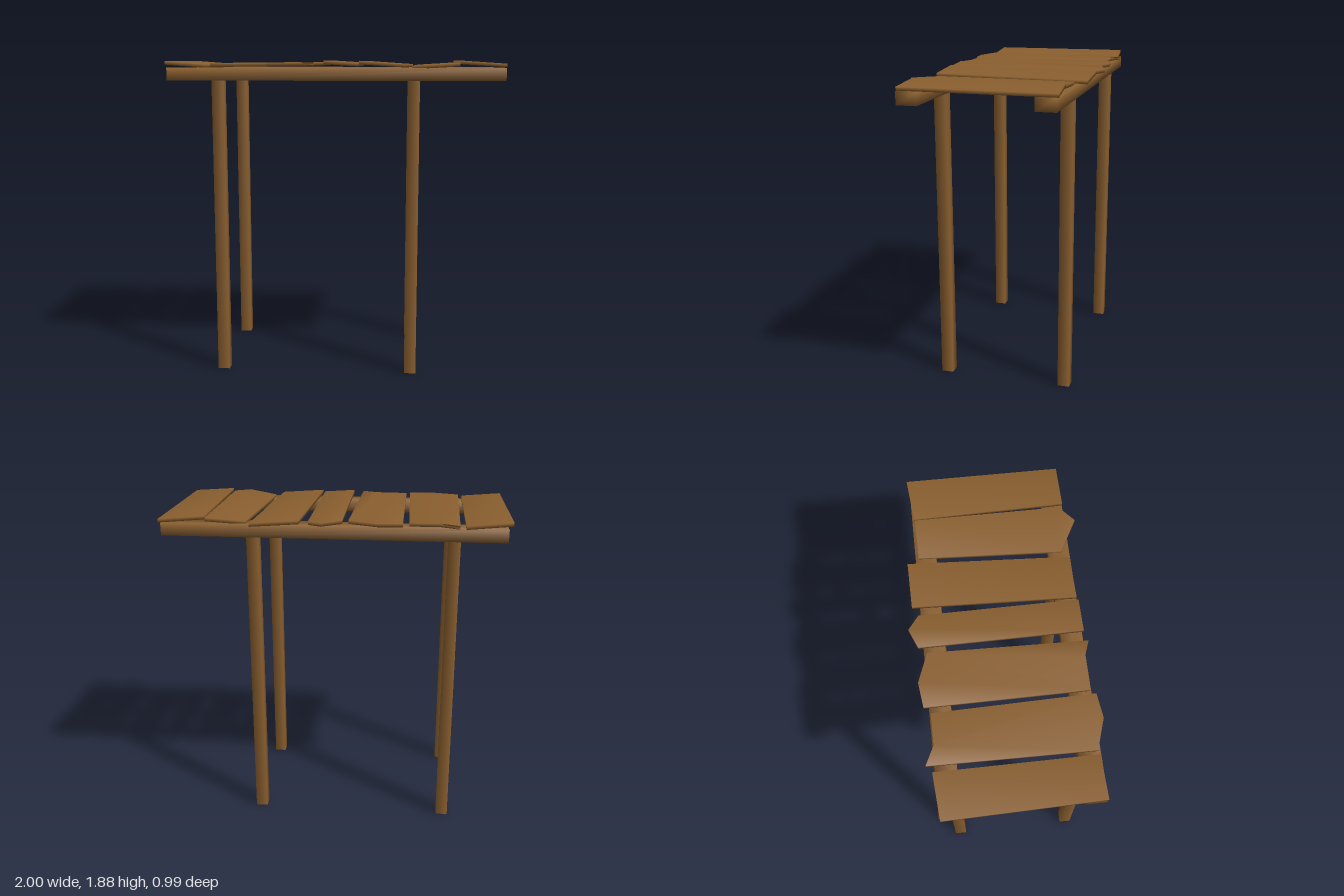
import * as THREE from 'three';
import { mergeVertices } from 'three/addons/utils/BufferGeometryUtils.js';

// Weld corners so shading runs softly around the timber edges
function soften(geometry) {
  geometry.deleteAttribute('normal');
  geometry.deleteAttribute('uv');
  const welded = mergeVertices(geometry, 1e-5);
  welded.computeVertexNormals();
  return welded;
}

export function createModel() {
  const group = new THREE.Group();
  group.name = 'plankCanopy';
  const wood = new THREE.MeshStandardMaterial({ name: 'brown wood', color: 0x8a5f2f });

  function add(name, geometry, x = 0, y = 0, z = 0) {
    const mesh = new THREE.Mesh(soften(geometry), wood);
    mesh.name = name;
    mesh.position.set(x, y, z);
    group.add(mesh);
  }

  // Four posts carrying two long beams
  for (const [side, z] of [['front', 0.378], ['back', -0.37]]) {
    add(side + 'Beam', new THREE.BoxGeometry(1.965, 0.074, 0.116), 0.007, 1.802, z);
    for (const [end, x] of [['Right', -0.68], ['Left', 0.466]]) {
      add(side + end + 'Post', new THREE.BoxGeometry(0.07, 1.78, 0.072), x, 0.89, z);
    }
  }

  // Plank: outline in x/z, top height at its left and right ends (tilted across x)
  function plank(name, outline, yStart, yEnd, thickness = 0.02) {
    const shape = new THREE.Shape(outline.map(([x, z]) => new THREE.Vector2(x, -z)));
    const geometry = new THREE.ExtrudeGeometry(shape, { depth: thickness, bevelEnabled: false });
    geometry.rotateX(-Math.PI / 2);
    const xs = outline.map((p) => p[0]);
    const x0 = Math.min(...xs), x1 = Math.max(...xs);
    const p = geometry.attributes.position;
    for (let i = 0; i < p.count; i++) {
      const t = (p.getX(i) - x0) / (x1 - x0);
      p.setY(i, p.getY(i) - thickness + yStart + (yEnd - yStart) * t);
    }
    add(name, geometry);
  }

  // Rough-cut roof planks, from the model's right to its left
  const planks = [
    [[[-1, -0.42], [-0.74, -0.44], [-0.742, 0.43], [-0.985, 0.435]], 1.878, 1.858],
    [[[-0.705, -0.47], [-0.6, -0.42], [-0.425, -0.42], [-0.412, 0.457], [-0.55, 0.475], [-0.72, 0.42]], 1.866, 1.866],
    [[[-0.39, -0.455], [-0.25, -0.472], [-0.085, -0.41], [-0.11, 0.46], [-0.2, 0.428], [-0.39, 0.425]], 1.869, 1.871],
    [[[-0.052, -0.455], [0.06, -0.5], [0.14, -0.44], [0.14, 0.442], [-0.052, 0.442]], 1.88, 1.867],
    [[[0.19, -0.47], [0.468, -0.475], [0.41, 0.43], [0.15, 0.432]], 1.879, 1.857],
    [[[0.5, -0.41], [0.735, -0.41], [0.73, 0.41], [0.64, 0.492], [0.455, 0.39]], 1.851, 1.868],
    [[[0.735, -0.415], [1, -0.44], [0.992, 0.432], [0.745, 0.434]], 1.88, 1.862],
  ];
  planks.forEach(([outline, a, b], i) => plank('roofPlank' + (i + 1), outline, a, b));

  return group;
}
